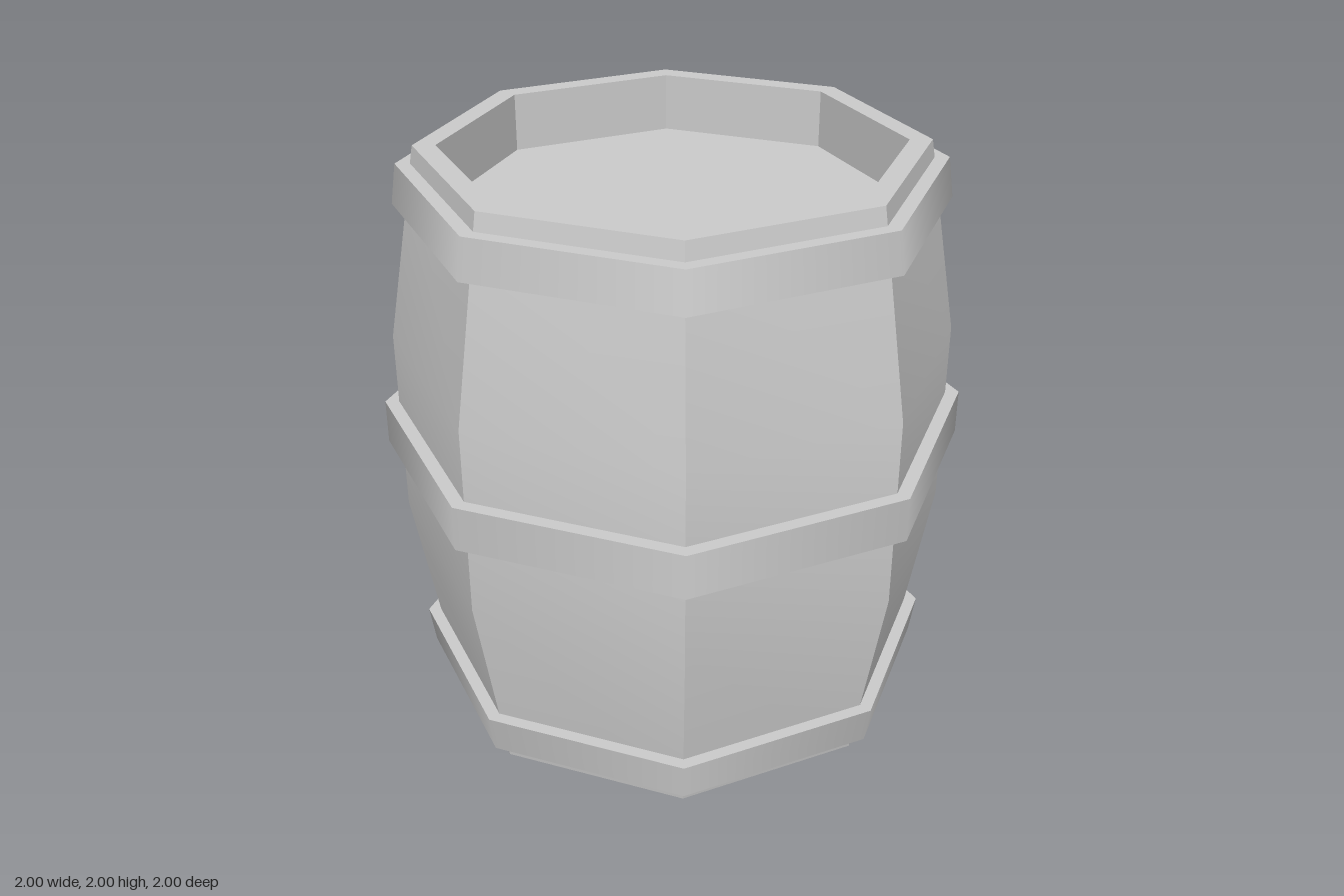
import * as THREE from 'three';
import { mergeGeometries, toCreasedNormals } from 'three/addons/utils/BufferGeometryUtils.js';

const SIDES = 8;
const material = new THREE.MeshStandardMaterial({ color: 0xcccccc });

// Octagonal turning of a list of [radius, height] points
const turn = (points) =>
  new THREE.LatheGeometry(points.map(([r, y]) => new THREE.Vector2(r, y)), SIDES);

// Hoop: smooth around, with hard upper and lower edges; its inside is buried in the staves
function hoop(name, y0, r0, y1, r1, inner) {
  const profile = [[inner, y0], [r0, y0], [r1, y1], [inner, y1]];
  const strips = [];
  for (let i = 0; i < 3; i++) strips.push(turn([profile[i], profile[i + 1]]));
  const mesh = new THREE.Mesh(mergeGeometries(strips), material);
  mesh.name = name;
  return mesh;
}

export function createModel() {
  const group = new THREE.Group();
  group.name = 'barrel';

  // Bulging staves with a deep recess at the lid and a shallow one at the base
  const bodyProfile = [
    [0, 0.065], [0.76, 0.065], [0.76, 0], [0.835, 0],
    [0.952, 0.67], [0.952, 1.33],
    [0.835, 2], [0.76, 2], [0.76, 1.8], [0, 1.8],
  ];
  const body = new THREE.Mesh(toCreasedNormals(turn(bodyProfile), Math.PI / 6), material);
  body.name = 'body';
  group.add(body);

  // Three hoops; the end ones taper with the staves
  group.add(
    hoop('bottomHoop', 0.065, 0.895, 0.2, 0.915, 0.82),
    hoop('middleHoop', 0.925, 1, 1.08, 1, 0.93),
    hoop('topHoop', 1.805, 0.915, 1.94, 0.895, 0.82),
  );
  return group;
}
